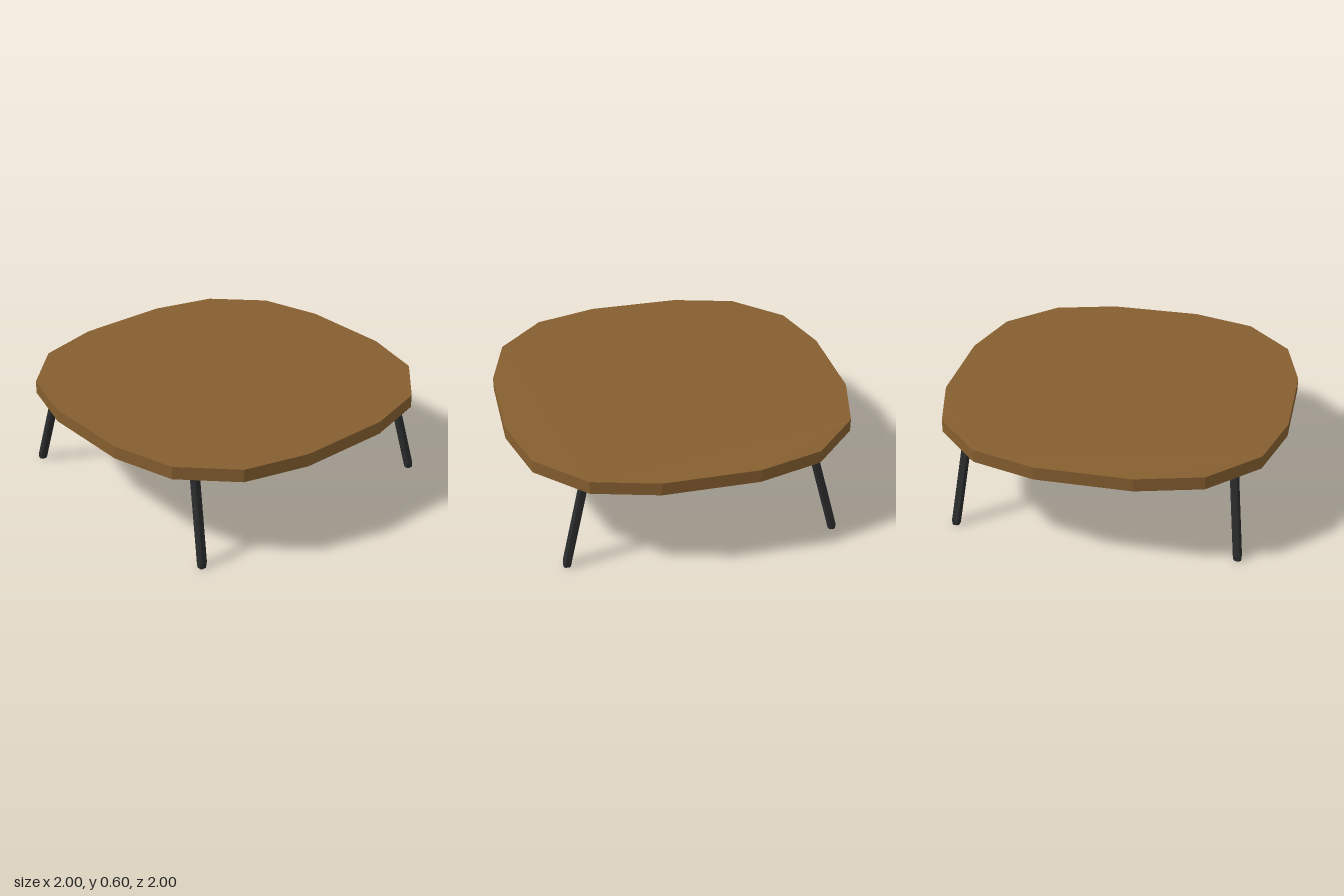
import * as THREE from 'three';

const wood = new THREE.MeshStandardMaterial({ color: 0x865f30, flatShading: true });
wood.name = 'brown wood';
const metal = new THREE.MeshStandardMaterial({ color: 0x2a2b2c, flatShading: true });
metal.name = 'black metal';

const SLAB_BOTTOM = 0.525;
const SLAB_TOP = 0.6;

// Faceted rounded-square slab, extruded upwards
function createTop() {
  const quarter = [[1, 0.27], [0.9, 0.635], [0.635, 0.9], [0.27, 1]];
  const outline = [];
  for (let i = 0; i < 4; i++) {
    const centre = new THREE.Vector2();
    for (const [x, y] of quarter) {
      outline.push(new THREE.Vector2(x, y).rotateAround(centre, i * Math.PI / 2));
    }
  }
  const geometry = new THREE.ExtrudeGeometry(new THREE.Shape(outline), {
    depth: SLAB_TOP - SLAB_BOTTOM, bevelEnabled: false,
  });
  geometry.rotateX(-Math.PI / 2);
  geometry.translate(0, SLAB_BOTTOM, 0);
  const mesh = new THREE.Mesh(geometry, wood);
  mesh.name = 'tableTop';
  return mesh;
}

// Splayed leg: chamfered-square rings [y, xMin, xMax, zMin, zMax] joined from foot to top
function createLeg(sx, sz) {
  const rings = [
    [0, 0.79, 0.832, 0.744, 0.784],
    [0.03, 0.785, 0.832, 0.738, 0.784],
    [0.54, 0.726, 0.773, 0.609, 0.655],
  ];
  const c = 0.009;
  const positions = [];
  for (const [y, x0, x1, z0, z1] of rings) {
    const corners = [
      [x0 + c, z0], [x0, z0 + c], [x0, z1 - c], [x0 + c, z1],
      [x1 - c, z1], [x1, z1 - c], [x1, z0 + c], [x1 - c, z0],
    ];
    for (const [x, z] of corners) positions.push(sx * x, y, sz * z);
  }

  const n = 8;
  const index = [];
  const mirrored = sx * sz < 0;
  const face = (a, b, d) => index.push(...(mirrored ? [a, d, b] : [a, b, d]));
  for (let r = 0; r < rings.length - 1; r++) {
    for (let i = 0; i < n; i++) {
      const a = r * n + i;
      const b = r * n + (i + 1) % n;
      face(a, b, b + n);
      face(a, b + n, a + n);
    }
  }
  // End caps
  const last = (rings.length - 1) * n;
  for (let i = 1; i < n - 1; i++) {
    face(0, i + 1, i);
    face(last, last + i, last + i + 1);
  }

  const indexed = new THREE.BufferGeometry();
  indexed.setAttribute('position', new THREE.Float32BufferAttribute(positions, 3));
  indexed.setIndex(index);
  const geometry = indexed.toNonIndexed();
  geometry.computeVertexNormals();
  const mesh = new THREE.Mesh(geometry, metal);
  mesh.name = (sz > 0 ? 'front' : 'back') + (sx > 0 ? 'Left' : 'Right') + 'Leg';
  return mesh;
}

export function createModel() {
  const table = new THREE.Group();
  table.name = 'coffeeTable';
  table.add(createTop());
  for (const sx of [-1, 1]) {
    for (const sz of [-1, 1]) table.add(createLeg(sx, sz));
  }
  return table;
}
